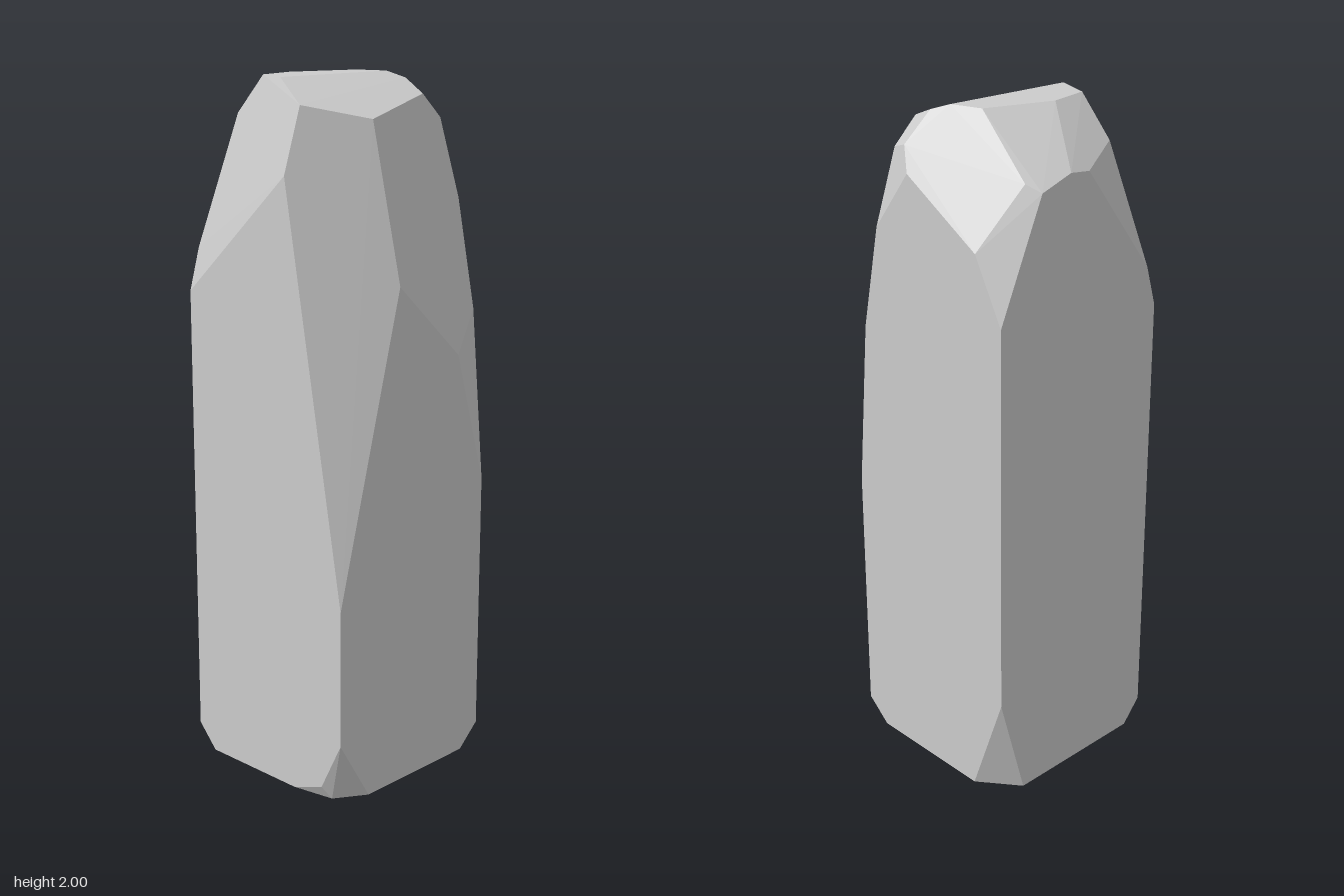
import * as THREE from 'three';
import { ConvexGeometry } from 'three/addons/geometries/ConvexGeometry.js';

const E = 0.295; // half width of the square column

// Chipped corners as [x, y, z], grouped from the crown down to the base
const corners = [
  // flat crown
  [-0.14, 2, 0.15], [-0.15, 2, 0.04], [-0.07, 2, -0.145], [0.015, 2, -0.177], [-0.045, 2, 0.177],
  // sloped facets around the crown
  [0.093, 1.94, 0.24], [0.207, 1.9, 0.082], [0.147, 1.945, -0.182], [0.063, 1.982, -0.204],
  [0.093, 1.895, -0.27], [0.147, 1.875, -0.257], [-0.255, 1.85, -0.172], [-0.24, 1.89, 0.153],
  // shoulders, where the facets meet the four sides
  [0.088, 1.76, E], [-E, 1.4, E], [-E, 1.52, 0.26],
  [-E, 1.85, 0.02], [-E, 1.86, -0.047], [-E, 1.83, -0.15],
  [-E, 1.5, -E], [-0.2, 1.68, -E], [0.057, 1.83, -E], [0.187, 1.65, -E],
  [0.25, 1.34, -E], [E, 1.23, -0.18], [E, 0.84, -E],
  [E, 1.46, 0.066], [E, 0.59, E],
  // chipped base: front +x corner
  [E, 0.19, E], [0.22, 0.04, E], [0.11, 0, E], [0.237, 0, 0.27], [E, 0, 0.18],
  // front -x corner
  [-E, 0.07, E], [-0.23, 0, E], [-E, 0, 0.235],
  // back -x corner
  [-E, 0.33, -E], [-0.18, 0, -E], [-E, 0, -0.205],
  // back +x corner
  [E, 0.065, -E], [0.22, 0, -E], [E, 0, -0.222],
];

export function createModel() {
  const group = new THREE.Group();
  group.name = 'standingStone';

  // One convex faceted block
  const points = corners.map((p) => new THREE.Vector3(...p));
  const material = new THREE.MeshStandardMaterial({ color: 0xcccccc, flatShading: true });
  const stone = new THREE.Mesh(new ConvexGeometry(points), material);
  stone.name = 'stone';
  group.add(stone);

  return group;
}
